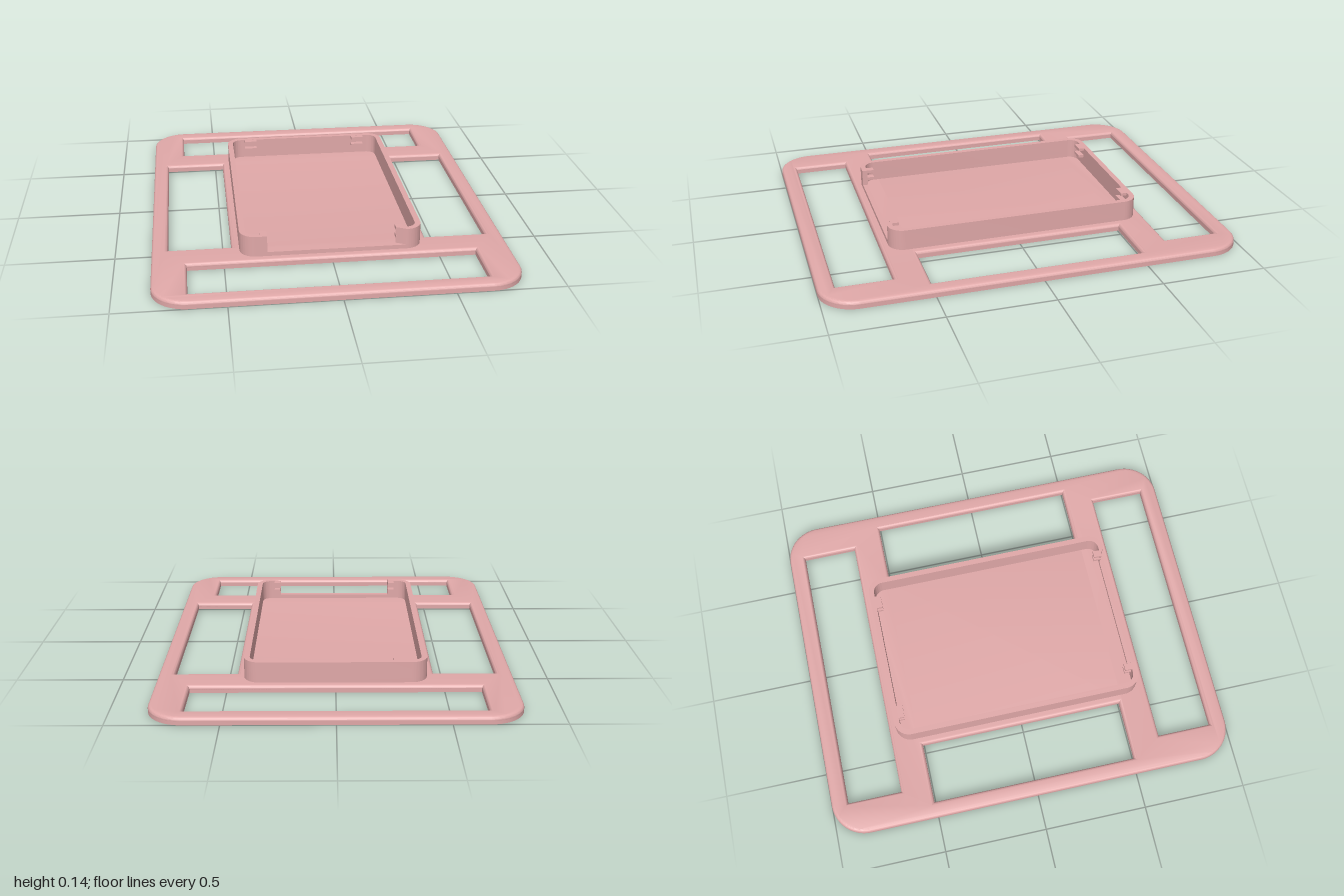
import * as THREE from 'three';
import { toCreasedNormals } from 'three/addons/utils/BufferGeometryUtils.js';

const material = new THREE.MeshStandardMaterial({ color: 0xe0a8a8 });

// Rounded rectangle centred on the origin
function roundedRect(Target, w, d, r) {
  const s = new Target();
  s.moveTo(-w + r, -d);
  s.absarc(w - r, -d + r, r, -Math.PI / 2, 0);
  s.absarc(w - r, d - r, r, 0, Math.PI / 2);
  s.absarc(-w + r, d - r, r, Math.PI / 2, Math.PI);
  s.absarc(-w + r, -d + r, r, Math.PI, Math.PI * 1.5);
  return s;
}

function rectHole(x0, x1, y0, y1) {
  const p = new THREE.Path();
  p.moveTo(x0, y0);
  p.lineTo(x0, y1);
  p.lineTo(x1, y1);
  p.lineTo(x1, y0);
  p.closePath();
  return p;
}

// Extrude a plan shape upward from y0 to y1, with an optional rounded edge
function slab(name, shape, y0, y1, bevel = 0) {
  const geo = new THREE.ExtrudeGeometry(shape, {
    depth: y1 - y0 - 2 * bevel, curveSegments: 16, bevelEnabled: bevel > 0,
    bevelThickness: bevel, bevelSize: bevel, bevelOffset: -bevel, bevelSegments: 5,
  });
  geo.translate(0, 0, bevel);
  geo.rotateX(-Math.PI / 2);
  const mesh = new THREE.Mesh(toCreasedNormals(geo, 0.6), material);
  mesh.position.y = y0;
  mesh.name = name;
  return mesh;
}

export function createModel() {
  const model = new THREE.Group();
  model.name = 'strapPlate';

  // Base plate with four strap slots: square lower edge, rounded upper edge
  const plate = roundedRect(THREE.Shape, 0.83, 1, 0.165);
  plate.holes.push(
    rectHole(-0.67, 0.67, 0.655, 0.92), rectHole(-0.67, 0.67, -0.92, -0.655),
    rectHole(0.46, 0.755, -0.505, 0.505), rectHole(-0.755, -0.46, -0.505, 0.505));
  model.add(slab('plateBase', plate, 0, 0.018));
  model.add(slab('plateRoundedTop', plate, 0.001, 0.035, 0.016));

  // Low sill running all round the tray
  const W = 0.425, D = 0.62, R = 0.075, w = 0.398, d = 0.594, r = 0.048, gap = 0.3;
  const sill = roundedRect(THREE.Shape, W, D, R);
  sill.holes.push(roundedRect(THREE.Path, w, d, r));
  model.add(slab('traySill', sill, 0.03, 0.055));

  // Tray wall, open in the middle of the front
  const q = Math.PI / 2;
  const wall = new THREE.Shape();
  wall.moveTo(gap, -D);
  wall.absarc(W - R, -D + R, R, -q, 0);
  wall.absarc(W - R, D - R, R, 0, q);
  wall.absarc(-W + R, D - R, R, q, 2 * q);
  wall.absarc(-W + R, -D + R, R, 2 * q, 3 * q);
  wall.lineTo(-gap, -D);
  wall.lineTo(-gap, -d);
  wall.absarc(-w + r, -d + r, r, 3 * q, 2 * q, true);
  wall.absarc(-w + r, d - r, r, 2 * q, q, true);
  wall.absarc(w - r, d - r, r, q, 0, true);
  wall.absarc(w - r, -d + r, r, 0, -q, true);
  wall.lineTo(gap, -d);
  wall.closePath();
  model.add(slab('trayWall', wall, 0.055, 0.135));

  // Two levels of retaining clips at each corner
  for (const side of [-1, 1]) {
    for (const y of [0.0885, 0.1275]) {
      const back = new THREE.Mesh(new THREE.BoxGeometry(0.065, 0.014, 0.034), material);
      back.position.set(side * 0.298, y, -0.582);
      back.name = 'backClip';
      const front = new THREE.Mesh(new THREE.BoxGeometry(0.033, 0.014, 0.04), material);
      front.position.set(side * 0.317, y, 0.58);
      front.name = 'frontClip';
      model.add(back, front);
    }
  }
  return model;
}
